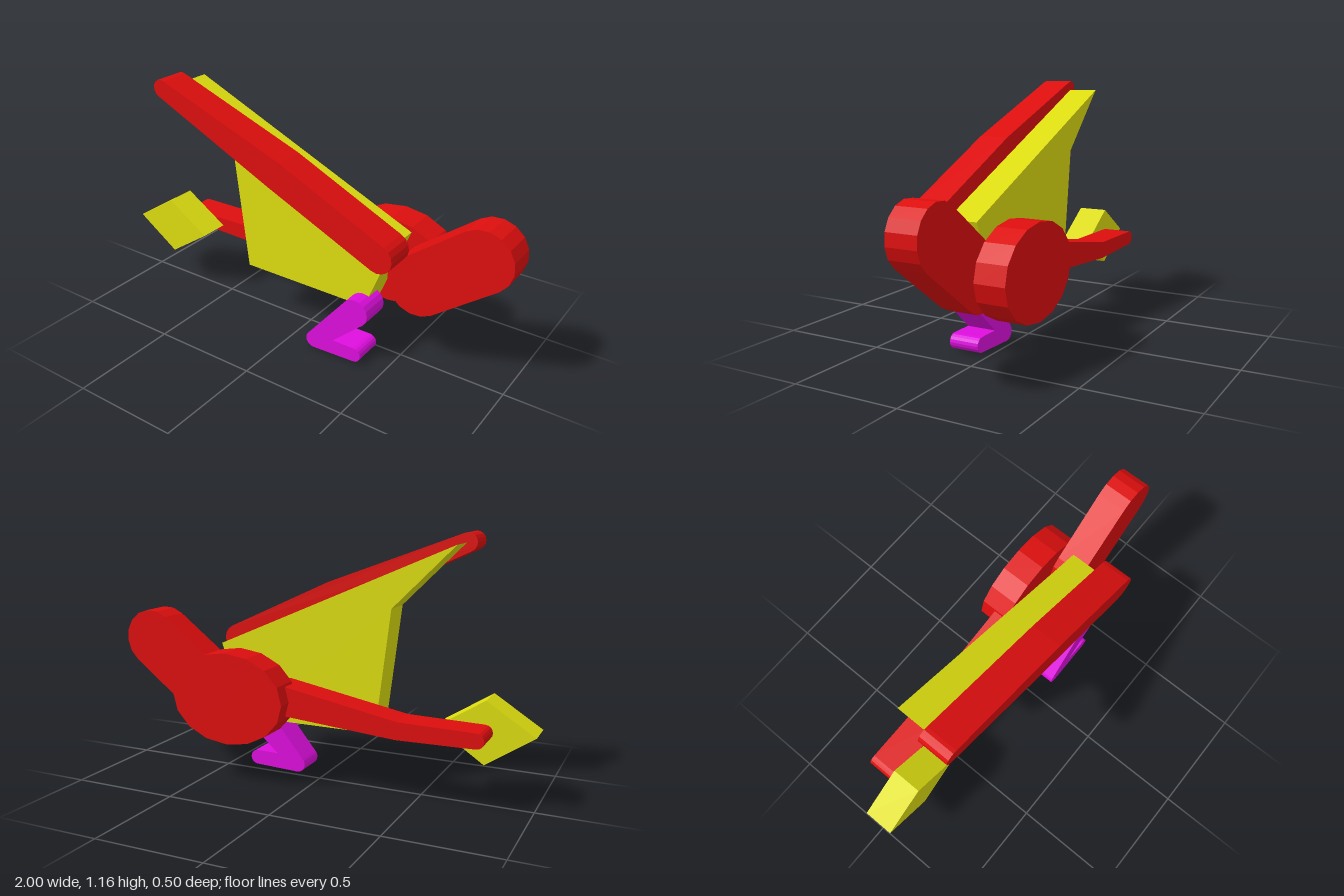
import * as THREE from 'three';

const DEPTH = 0.143;

// points along a circular arc, angles in degrees
function arc(cx, cy, r, from, to, steps = 8) {
  const pts = [];
  for (let i = 0; i <= steps; i++) {
    const a = THREE.MathUtils.degToRad(from + ((to - from) * i) / steps);
    pts.push(new THREE.Vector2(cx + r * Math.cos(a), cy + r * Math.sin(a)));
  }
  return pts;
}

// rounded limb outline along a chain of [x, y, radius] joints
function limb(joints) {
  const angle = (a, b) => THREE.MathUtils.radToDeg(Math.atan2(b[1] - a[1], b[0] - a[0]));
  const n = joints.length;
  const first = angle(joints[0], joints[1]);
  const last = angle(joints[n - 2], joints[n - 1]);
  const side = (i, sign) => {
    const [x, y, r] = joints[i];
    const a = (angle(joints[i - 1], joints[i]) + angle(joints[i], joints[i + 1])) / 2 + sign * 90;
    return arc(x, y, r, a, a, 0.5).slice(0, 1);
  };
  const pts = arc(...joints[0], first + 90, first + 270);
  for (let i = 1; i < n - 1; i++) pts.push(...side(i, -1));
  pts.push(...arc(...joints[n - 1], last - 90, last + 90));
  for (let i = n - 2; i > 0; i--) pts.push(...side(i, 1));
  return pts;
}

const corners = (list) => list.map(([x, y]) => new THREE.Vector2(x, y));

export function createModel() {
  const group = new THREE.Group();
  const material = (name, color) => {
    const m = new THREE.MeshStandardMaterial({ color });
    m.name = name;
    return m;
  };
  const red = material('red', 0xdd0e0e);
  const yellow = material('yellow', 0xdcdc10);
  const magenta = material('magenta', 0xdd0edd);

  // each part is a flat slab starting at depth z
  const slab = (name, outline, z, mat) => {
    const geometry = new THREE.ExtrudeGeometry(new THREE.Shape(outline), { depth: DEPTH, bevelEnabled: false });
    geometry.translate(0, 0, z);
    const mesh = new THREE.Mesh(geometry, mat);
    mesh.name = name;
    group.add(mesh);
  };

  // oval body, 16 sided
  const oval = arc(0, 0, 1, 0, 337.5, 15).map((p) => new THREE.Vector2(0.355 + p.x * 0.285, 0.402 + p.y * 0.213));
  slab('body', oval, -0.25, red);

  // tail with its diamond tip
  slab('tail', limb([[-0.785, 0.335, 0.034], [-0.44, 0.335, 0.04], [0.14, 0.41, 0.07]]), -0.179, red);
  slab('tailTip', corners([[-1, 0.335], [-0.785, 0.19], [-0.57, 0.335], [-0.785, 0.473]]), -0.036, yellow);

  // head
  slab('head', limb([[0.57, 0.4, 0.14], [0.86, 0.62, 0.14]]), -0.107, red);

  // wing membrane and the arm along its top
  slab('wingMembrane', corners([[-0.64, 1.115], [-0.357, 0.832], [-0.287, 0.265], [0.36, 0.265], [0.5, 0.615]]), -0.036, yellow);
  slab('wingArm', limb([[-0.645, 1.117, 0.042], [-0.02, 0.852, 0.07], [0.5, 0.614, 0.067]]), 0.107, red);

  // bent leg with foot
  slab('leg', [
    ...arc(0.355, 0.265, 0.065, -44, 136),
    ...arc(0.138, 0.04, 0.04, 136, 270),
    ...arc(0.355, 0.044, 0.035, -90, 90),
    new THREE.Vector2(0.244, 0.078),
  ], 0.036, magenta);

  return group;
}
